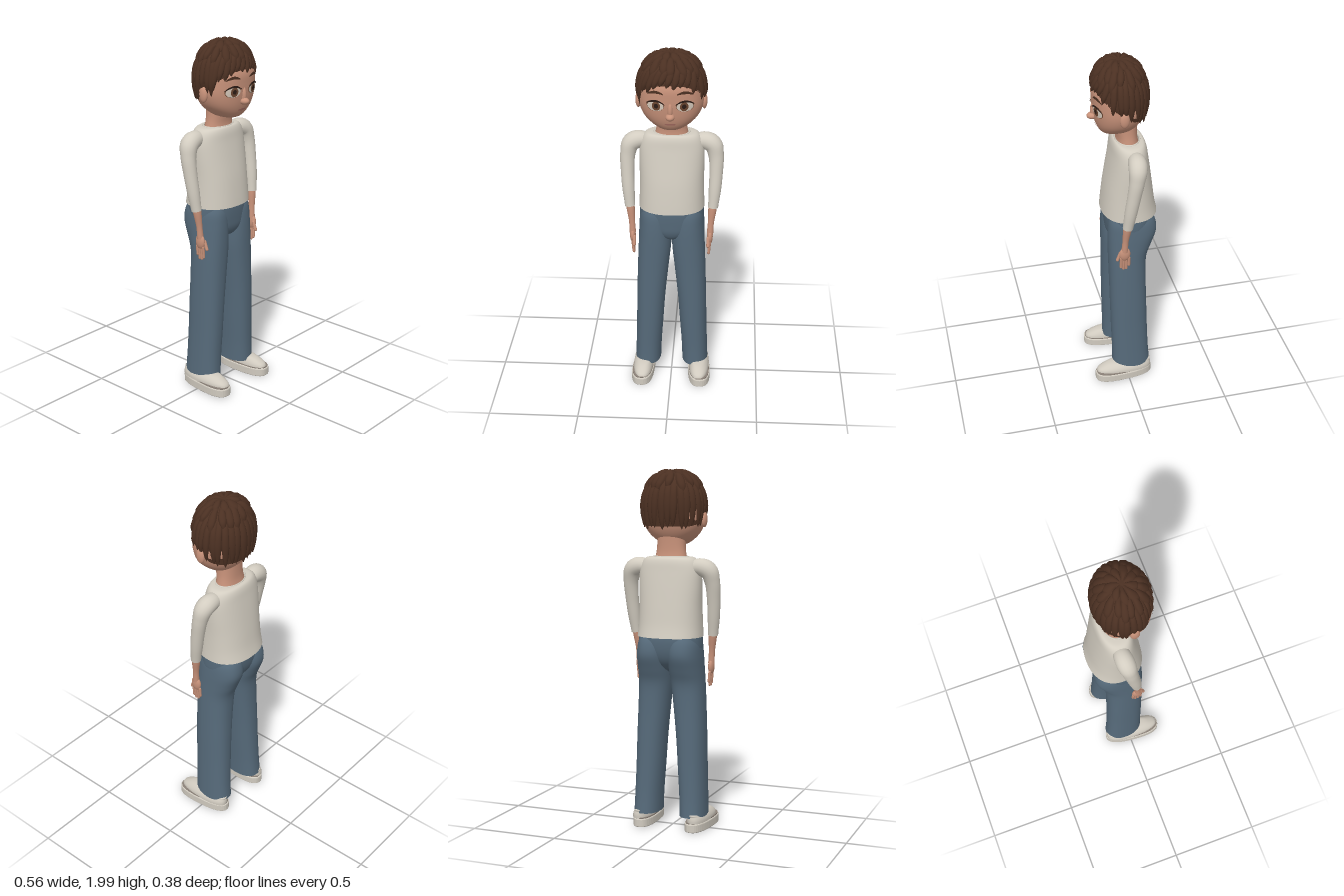
import * as THREE from 'three';
import { mergeVertices, mergeGeometries } from 'three/addons/utils/BufferGeometryUtils.js';

const material = (name, color, side = THREE.FrontSide) => {
  const m = new THREE.MeshStandardMaterial({ color, side });
  m.name = name;
  return m;
};

// Smooth surface from a rule: u runs across, v runs upward
function grid(fn, nu, nv) {
  const pos = [], idx = [];
  for (let i = 0; i <= nv; i++) for (let j = 0; j <= nu; j++) pos.push(...fn(j / nu, i / nv));
  for (let i = 0; i < nv; i++) for (let j = 0; j < nu; j++) {
    const a = i * (nu + 1) + j, b = a + 1, c = a + nu + 1, d = c + 1;
    idx.push(a, b, d, a, d, c);
  }
  const g = new THREE.BufferGeometry();
  g.setAttribute('position', new THREE.Float32BufferAttribute(pos, 3));
  g.setIndex(idx);
  return smooth(g);
}
function smooth(g) {
  g.deleteAttribute('uv');
  g.deleteAttribute('normal');
  g = mergeVertices(g, 1e-5);
  g.computeVertexNormals();
  return g;
}

// Spline through table rows [y, centreX, halfX, zFront, zBack]
function rowAt(rows, t) {
  const n = rows.length - 1, k = Math.min(Math.floor(t * n), n - 1), f = t * n - k;
  const r = i => rows[Math.max(0, Math.min(n, i))];
  return rows[0].map((_, c) => {
    const [a, b, d, e] = [r(k - 1)[c], r(k)[c], r(k + 1)[c], r(k + 2)[c]];
    return b + 0.5 * f * (d - a + f * (2 * a - 5 * b + 4 * d - e + f * (3 * (b - d) + e - a)));
  });
}
const spow = (s, p) => Math.sign(s) * Math.abs(s) ** (2 / p);
function loft(rows, p = 2.2) {
  return grid((u, v) => {
    const [y, xc, hx, zf, zb] = rowAt(rows, v), a = u * Math.PI * 2;
    return [xc + hx * spow(Math.sin(a), p), y, (zf + zb) / 2 + (zf - zb) / 2 * spow(Math.cos(a), p)];
  }, 48, (rows.length - 1) * 5);
}

// Tapered limb through points [x, y, z, radius]
function limb(pts) {
  const curve = new THREE.CatmullRomCurve3(pts.map(p => new THREE.Vector3(p[0], p[1], p[2])));
  const n = 36, g = new THREE.TubeGeometry(curve, n, 1, 20), pos = g.attributes.position, v = new THREE.Vector3();
  for (let i = 0; i <= n; i++) {
    const c = curve.getPointAt(i / n), t = curve.getUtoTmapping(i / n);
    const r = rowAt(pts, t)[3];
    for (let j = 0; j <= 20; j++) {
      const k = i * 21 + j;
      v.fromBufferAttribute(pos, k).sub(c).multiplyScalar(r).add(c);
      pos.setXYZ(k, v.x, v.y, v.z);
    }
  }
  return smooth(g);
}
const ball = (x, y, z, rx, ry, rz) => new THREE.SphereGeometry(1, 24, 16).scale(rx, ry, rz).translate(x, y, z);

function mirrored(geo) {
  const g = geo.index ? geo.clone() : mergeVertices(geo);
  g.scale(-1, 1, 1);
  const ix = g.index;
  for (let i = 0; i < ix.count; i += 3) {
    const a = ix.getX(i);
    ix.setX(i, ix.getX(i + 1));
    ix.setX(i + 1, a);
  }
  return g;
}

const headRows = [
  [1.574, 0, 0.004, 0.065, 0.05], [1.585, 0, 0.06, 0.105, -0.03], [1.612, 0, 0.106, 0.128, -0.07],
  [1.655, 0, 0.147, 0.143, -0.1], [1.71, 0, 0.17, 0.151, -0.12], [1.77, 0, 0.175, 0.154, -0.13],
  [1.83, 0, 0.168, 0.15, -0.125], [1.9, 0, 0.135, 0.115, -0.095], [1.95, 0, 0.07, 0.065, -0.05], [1.965, 0, 0.004, 0.01, 0]];
const HEAD_P = 2.25;
function faceZ(x, y) {
  let lo = 0, hi = 1;
  for (let i = 0; i < 30; i++) {
    const m = (lo + hi) / 2;
    if (rowAt(headRows, m)[0] < y) lo = m; else hi = m;
  }
  const [, , hx, zf, zb] = rowAt(headRows, lo);
  return (zf + zb) / 2 + (zf - zb) / 2 * (1 - Math.min(1, Math.abs(x / hx)) ** HEAD_P) ** (1 / HEAD_P);
}
// Lay a flat geometry onto the face
function onFace(g, lift) {
  const p = g.attributes.position;
  for (let i = 0; i < p.count; i++) p.setZ(i, faceZ(p.getX(i), p.getY(i)) + lift);
  g.computeVertexNormals();
  return g;
}
const faceDisc = (x, y, rx, ry, lift) =>
  onFace(new THREE.RingGeometry(0.001, 1, 28, 4).scale(rx, ry, 1).translate(x, y, 0), lift);
function faceStrip(x, y, w, h, arch, tilt, lift) {
  const g = new THREE.PlaneGeometry(w, h, 14, 2), p = g.attributes.position;
  for (let i = 0; i < p.count; i++) {
    const s = p.getX(i) / w * 2;
    p.setY(i, p.getY(i) * (1 - 0.7 * s * s) - arch * s * s + tilt * s);
  }
  return onFace(g.translate(x, y, 0), lift);
}

// Hair surface at heading a (0 = front) and angle th down from the crown
function hairPoint(a, th, lift) {
  const c = Math.cos(th), r = c > 0 ? Math.sin(th) ** 0.85 : 1 + 0.1 * c;
  return [Math.sin(a) * r * (0.179 + lift), 1.785 + (0.2 + lift) * c, 0.012 + Math.cos(a) * r * (0.15 + lift)];
}
const edgeKeys = [[0, 1.85], [0.5, 1.84], [0.95, 1.8], [1.2, 1.735], [1.6, 1.75], [1.85, 1.7], [2.3, 1.685], [3.2, 1.685]];
function edgeTheta(a) {
  const b = Math.abs(Math.atan2(Math.sin(a), Math.cos(a)));
  const k = edgeKeys.findIndex((e, i) => i > 0 && b <= e[0]);
  const [p, q] = [edgeKeys[k - 1], edgeKeys[k]];
  const y = p[1] + (q[1] - p[1]) * (b - p[0]) / (q[0] - p[0]);
  return Math.acos((y - 1.785) / 0.2);
}
// One leaf-shaped lock, v = 0 at the tip
function lock(a0, w, th0, th1, thick, skew) {
  return grid((u, v) => {
    const s = u * 2 - 1, d = 1 - v;
    const width = w * Math.min(1, Math.sqrt(v * 2.2)) * (0.75 + 0.25 * d);
    const lift = thick * Math.sqrt(Math.max(0, 1 - s * s)) * Math.min(1, d * 3, 0.35 + v * 3) - 0.002;
    return hairPoint(a0 + s * width + skew * d, th0 + (th1 - th0) * d, lift);
  }, 10, 14);
}

export function createModel() {
  const model = new THREE.Group();
  model.name = 'standingFigure';
  const skin = material('skin', 0xc8927a), hair = material('hair', 0x4b3022, THREE.DoubleSide);
  const shirt = material('shirt', 0xd3cdc1, THREE.DoubleSide), denim = material('trousers', 0x566a7a, THREE.DoubleSide);
  const shoe = material('shoe', 0xd0cabf), welt = material('shoeSeam', 0x8c8279);
  const white = material('eyeWhite', 0xd8cbbd), iris = material('iris', 0x6b4630);
  const dark = material('lashAndPupil', 0x2c1c16), lip = material('lip', 0xb07468);
  const add = (name, geo, mat) => {
    const m = new THREE.Mesh(geo, mat);
    m.name = name;
    model.add(m);
  };
  const pair = (name, geo, mat) => {
    add(name + 'Left', geo, mat);
    add(name + 'Right', mirrored(geo), mat);
  };

  // Head, neck and face
  add('head', loft(headRows, HEAD_P), skin);
  add('neck', loft([[1.47, 0, 0.1, 0.035, -0.1], [1.53, 0, 0.086, 0.026, -0.086], [1.58, 0, 0.08, 0.03, -0.083], [1.66, 0, 0.08, 0.04, -0.085]]), skin);
  add('nose', ball(0, 1.677, 0.153, 0.024, 0.019, 0.03), skin);
  add('noseBridge', ball(0, 1.71, 0.146, 0.014, 0.045, 0.018), skin);
  add('mouth', faceDisc(0, 1.63, 0.03, 0.006, 0.003), lip);
  pair('ear', ball(0.174, 1.722, 0.02, 0.016, 0.044, 0.026), skin);
  pair('eyeRim', faceDisc(0.077, 1.737, 0.046, 0.031, 0.002), iris);
  pair('eyeWhite', faceDisc(0.077, 1.735, 0.043, 0.027, 0.004), white);
  pair('iris', faceDisc(0.073, 1.736, 0.022, 0.025, 0.006), iris);
  pair('pupil', faceDisc(0.073, 1.737, 0.011, 0.013, 0.007), dark);
  pair('eyelash', faceStrip(0.077, 1.766, 0.098, 0.011, 0.019, 0, 0.008), dark);
  pair('eyebrow', faceStrip(0.078, 1.812, 0.085, 0.015, 0.012, -0.002, 0.004), hair);

  // Hair cap with overlapping tiers of locks
  add('hairCap', grid((u, v) => {
    const a = u * Math.PI * 2;
    return hairPoint(a, Math.max(0.001, edgeTheta(a) * (1 - v)), 0);
  }, 72, 24), hair);
  const locks = [];
  for (let i = 0; i < 30; i++) {
    const a = (i + 0.5) / 30 * Math.PI * 2, front = Math.cos(a) > 0.45;
    const skew = front ? -0.22 : 0.05 * Math.sin(i * 2.3);
    locks.push(lock(a, 0.15, 0.7, edgeTheta(a + skew) + 0.06 + 0.05 * Math.sin(i * 1.9), 0.014, skew));
  }
  for (let i = 0; i < 17; i++)
    locks.push(lock(i / 17 * Math.PI * 2, 0.23, 0.3, 1.08 + 0.1 * Math.sin(i * 2.7), 0.017, 0.14 * Math.sin(i * 1.3)));
  for (let i = 0; i < 9; i++)
    locks.push(lock(i / 9 * Math.PI * 2 + 0.2, 0.42, 0.02, 0.6 + 0.09 * Math.sin(i * 2.1), 0.014, 0.2));
  add('hairLocks', mergeGeometries(locks), hair);

  // Shirt
  add('shirtBody', loft([
    [1.083, 0, 0.182, 0.115, -0.192], [1.15, 0, 0.178, 0.108, -0.178], [1.25, 0, 0.176, 0.095, -0.165],
    [1.36, 0, 0.178, 0.075, -0.15], [1.44, 0, 0.175, 0.06, -0.138], [1.49, 0, 0.16, 0.052, -0.13],
    [1.515, 0, 0.135, 0.042, -0.118], [1.52, 0, 0.094, 0.03, -0.098]], 2.3), shirt);
  const collar = new THREE.TorusGeometry(1, 0.06, 8, 40).rotateX(Math.PI / 2).scale(0.094, 0.08, 0.065).translate(0, 1.519, -0.034);
  add('collar', collar, shirt);
  pair('sleeve', limb([
    [0.12, 1.455, -0.045, 0.04], [0.18, 1.465, -0.045, 0.049], [0.222, 1.445, -0.04, 0.05], [0.24, 1.385, -0.03, 0.042],
    [0.242, 1.29, -0.014, 0.037], [0.237, 1.19, 0.002, 0.034], [0.229, 1.09, 0.016, 0.028]]), shirt);

  // Forearms and hands
  pair('forearm', limb([[0.232, 1.15, 0.009, 0.023], [0.226, 1.08, 0.018, 0.023], [0.219, 1.0, 0.026, 0.017], [0.215, 0.93, 0.03, 0.018]]), skin);
  pair('palm', ball(0.215, 0.912, 0.029, 0.016, 0.042, 0.031), skin);
  const fingers = [0.005, 0.02, 0.035, 0.049].map((z, i) =>
    new THREE.CapsuleGeometry(0.0078, [0.05, 0.07, 0.07, 0.06][i], 4, 10).rotateZ(-0.08).translate(0.212, [0.858, 0.847, 0.846, 0.853][i], z));
  pair('fingers', mergeGeometries(fingers), skin);
  pair('thumb', new THREE.CapsuleGeometry(0.009, 0.045, 4, 10).rotateX(-0.35).translate(0.205, 0.893, 0.06), skin);

  // Trousers
  add('trouserSeat', loft([
    [0.885, 0, 0.012, 0.02, -0.06], [0.91, 0, 0.06, 0.065, -0.105], [0.95, 0, 0.14, 0.086, -0.14],
    [1.0, 0, 0.174, 0.092, -0.16], [1.06, 0, 0.178, 0.095, -0.168], [1.11, 0, 0.174, 0.093, -0.164]], 2.4), denim);
  pair('trouserLeg', loft([
    [0.08, 0.137, 0.074, 0.083, -0.136], [0.19, 0.133, 0.074, 0.083, -0.128], [0.35, 0.125, 0.077, 0.087, -0.122],
    [0.52, 0.117, 0.081, 0.09, -0.118], [0.7, 0.105, 0.087, 0.092, -0.115], [0.82, 0.096, 0.091, 0.094, -0.12],
    [0.9, 0.092, 0.092, 0.095, -0.148], [0.98, 0.09, 0.091, 0.094, -0.176], [1.05, 0.088, 0.086, 0.088, -0.168],
    [1.1, 0.085, 0.07, 0.07, -0.14]], 2.3), denim);

  // Shoes
  const outline = new THREE.Shape(Array.from({ length: 40 }, (_, i) => {
    const a = i / 40 * Math.PI * 2;
    return new THREE.Vector2(0.057 * spow(Math.cos(a), 2.6) * (1 - 0.08 * Math.sin(a)), 0.161 * spow(Math.sin(a), 2.6));
  }));
  // Stack outline layers upward, centred under the ankle and turned slightly out
  const layer = (y, h, bevel, grow) => new THREE.ExtrudeGeometry(outline, { depth: h - 2 * bevel, bevelSize: bevel, bevelThickness: bevel, bevelSegments: 3 })
    .translate(0, 0, bevel).rotateX(-Math.PI / 2).scale(grow, 1, -grow * -1).rotateY(0.06).translate(0.162, y, 0.024);
  pair('shoeSole', layer(0, 0.048, 0.006, 1), shoe);
  pair('shoeSeam', layer(0.047, 0.008, 0.002, 0.985), welt);
  pair('shoeUpper', loft([
    [0.05, 0.163, 0.057, 0.184, -0.138], [0.068, 0.163, 0.055, 0.175, -0.138], [0.086, 0.161, 0.048, 0.145, -0.134],
    [0.1, 0.157, 0.036, 0.105, -0.125], [0.107, 0.15, 0.004, 0.03, 0]], 2.4), shoe);
  return model;
}
